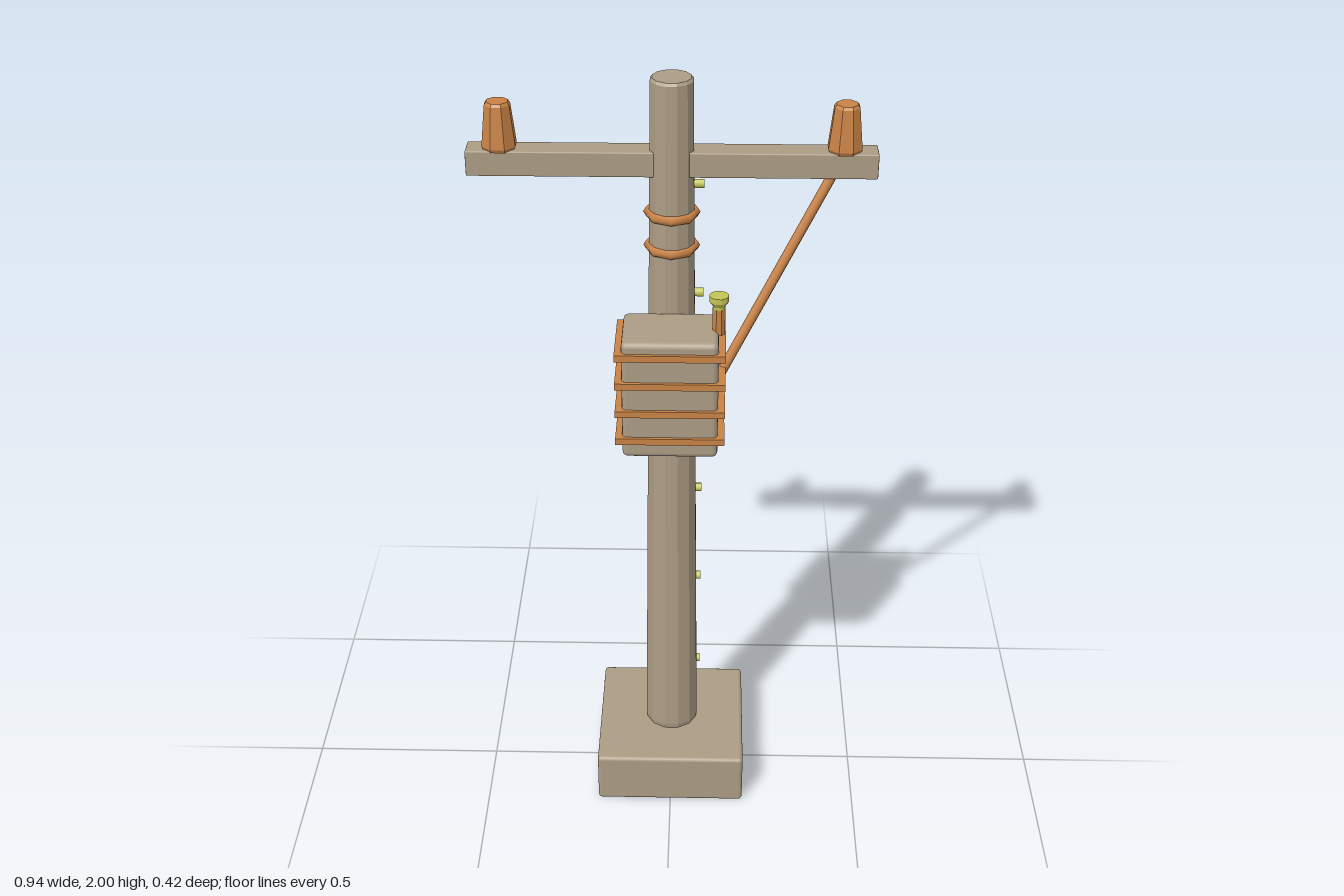
import * as THREE from 'three';
import { RoundedBoxGeometry } from 'three/addons/geometries/RoundedBoxGeometry.js';

const AXIS_Z = -0.014; // centre line of the pole

export function createModel() {
  const model = new THREE.Group();
  model.name = 'utilityPole';

  const material = (name, color) => {
    const m = new THREE.MeshStandardMaterial({ color });
    m.name = name;
    return m;
  };
  const weathered = material('weatheredGrey', 0xac9c85);
  const copper = material('copperOrange', 0xc98346);
  const brass = material('brassYellow', 0xc5c556);

  const add = (name, geometry, mat, x, y, z) => {
    const mesh = new THREE.Mesh(geometry, mat);
    mesh.name = name;
    mesh.position.set(x, y, z);
    model.add(mesh);
    return mesh;
  };

  // Faceted turned part from [radius, height] pairs
  const turned = (points, sides) => {
    const lathe = new THREE.LatheGeometry(
      points.map(([r, y]) => new THREE.Vector2(r, y)), sides, Math.PI / sides);
    const flat = lathe.toNonIndexed();
    flat.computeVertexNormals();
    return flat;
  };

  // Footing and tapered pole with softened rims
  add('footing', new RoundedBoxGeometry(0.394, 0.146, 0.394, 2, 0.01), weathered, 0, 0.073, AXIS_Z);
  add('pole', turned([
    [0, 0.14], [0.068, 0.14], [0.072, 0.16], [0.051, 1.993], [0.046, 2], [0, 2],
  ], 12), weathered, 0, 0, AXIS_Z);

  // Crossarm with an insulator near each end
  add('crossarm', new RoundedBoxGeometry(0.944, 0.06, 0.063, 1, 0.003), weathered, 0, 1.8, AXIS_Z);
  const insulator = turned([
    [0, 0], [0.038, 0], [0.042, 0.008], [0.031, 0.105], [0.026, 0.112], [0, 0.112],
  ], 8);
  for (const side of [-1, 1]) {
    add(side > 0 ? 'leftInsulator' : 'rightInsulator', insulator, copper, side * 0.395, 1.828, AXIS_Z);
  }

  // Eight-sided bands around the upper pole
  const band = new THREE.TorusGeometry(0.055, 0.012, 6, 8).rotateX(Math.PI / 2);
  for (const y of [1.588, 1.673]) add('poleBand', band, copper, 0, y, AXIS_Z);

  // Transformer box and its cooling ribs
  add('transformerBox', new RoundedBoxGeometry(0.228, 0.31, 0.164, 2, 0.014), weathered, 0, 1.28, 0.117);
  const rib = new THREE.BoxGeometry(0.26, 0.017, 0.18);
  for (let i = 0; i < 4; i++) add('coolingRib', rib, copper, 0, 1.175 + i * 0.075, 0.117);

  // Terminal on the box corner, with a flared cap
  add('terminal', turned([[0, 0], [0.016, 0], [0.016, 0.066], [0, 0.066]], 8), copper, 0.113, 1.423, 0.117);
  add('terminalCap', turned([
    [0, 0], [0.015, 0], [0.015, 0.01], [0.023, 0.022], [0.023, 0.036], [0, 0.036],
  ], 12), brass, 0.113, 1.486, 0.117);

  // Cable from the box up to the crossarm
  const cablePath = new THREE.LineCurve3(
    new THREE.Vector3(0.108, 1.293, 0.119), new THREE.Vector3(0.383, 1.8, -0.008));
  const length = cablePath.getLength();
  const cable = add('cable', new THREE.CylinderGeometry(0.012, 0.012, length, 8), copper, 0, 0, 0);
  cable.position.copy(cablePath.getPoint(0.5));
  cable.quaternion.setFromUnitVectors(new THREE.Vector3(0, 1, 0), cablePath.getTangent(0));

  // Climbing pegs up the left side
  const peg = new THREE.CylinderGeometry(0.011, 0.011, 0.04, 8).rotateZ(Math.PI / 2);
  for (let i = 0; i < 6; i++) add('climbingPeg', peg, brass, 0.056, 0.344 + i * 0.28, AXIS_Z);

  return model;
}
